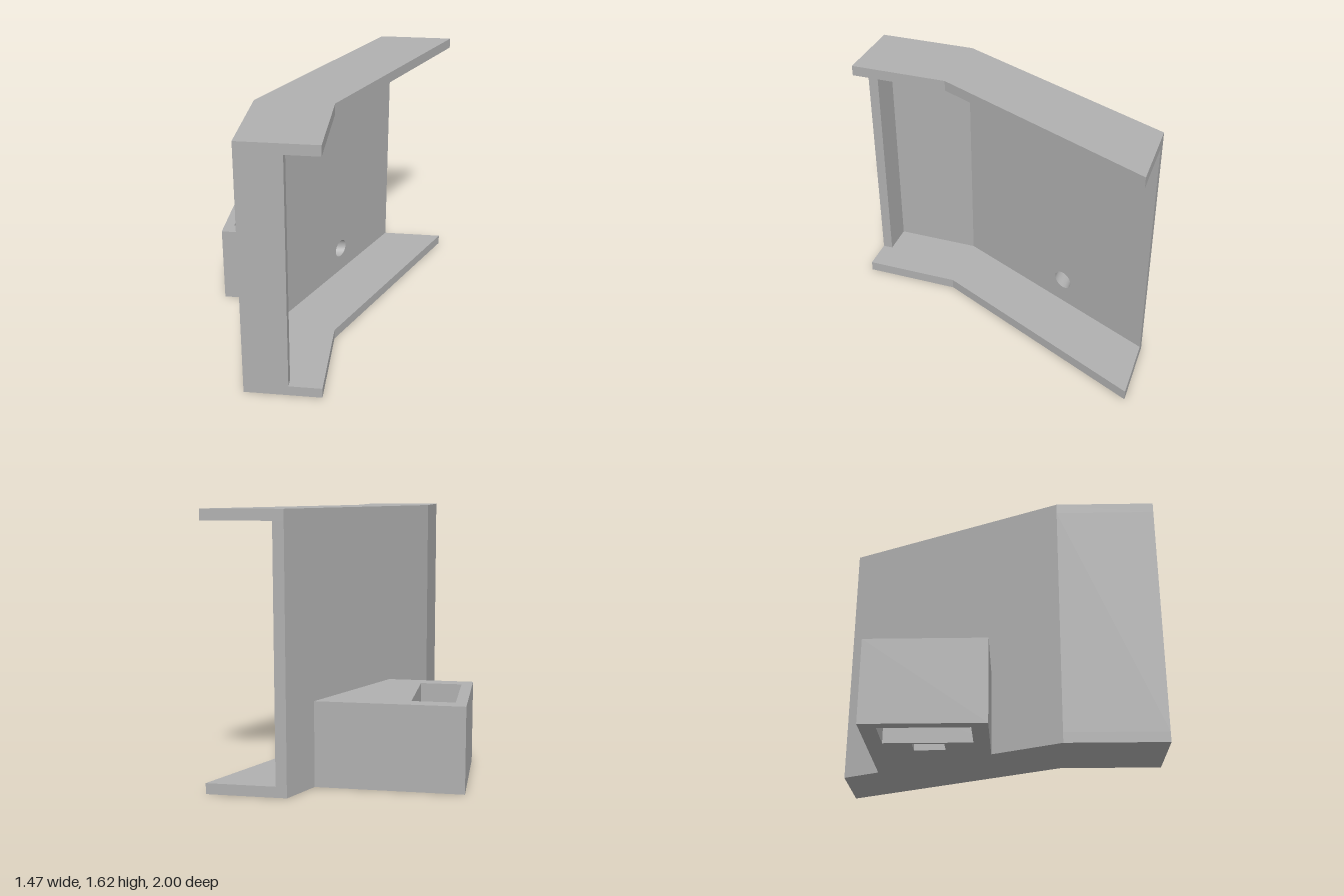
import * as THREE from 'three';
import { toCreasedNormals } from 'three/addons/utils/BufferGeometryUtils.js';

const H = 1.625, T = 0.065;          // overall height, wall thickness
const BEND = 0.378;                  // z where the channel turns
const BOLT = { z: -0.4, y: 0.24, r: 0.06 };

// x of the channel's outer face at a given z
const outer = (z) => -0.394 + Math.max(0, BEND - z) * (0.649 / (1 + BEND));
const inner = (z) => outer(z) + T;
const at = (x) => () => x;

const polygon = (pts) => new THREE.Shape(pts.map(([a, b]) => new THREE.Vector2(a, b)));

// Side-on outline given as (z, y) points, optionally pierced by the bolt hole
function sideShape(pts, hole) {
  const shape = polygon(pts.map(([z, y]) => [-z, y]));
  if (hole) shape.holes.push(new THREE.Path().absarc(-BOLT.z, BOLT.y, BOLT.r, 0, Math.PI * 2, true));
  return shape;
}
const rect = (z0, z1, y0, y1) => [[z1, y0], [z0, y0], [z0, y1], [z1, y1]];

// Extrude a side outline along x, between two faces that may slope with z
function slab(shape, xa, xb) {
  const geo = new THREE.ExtrudeGeometry(shape, { depth: 1, bevelEnabled: false, curveSegments: 24 });
  geo.rotateY(Math.PI / 2);
  const p = geo.attributes.position;
  for (let i = 0; i < p.count; i++) {
    const z = p.getZ(i);
    p.setX(i, THREE.MathUtils.lerp(xa(z), xb(z), p.getX(i)));
  }
  return toCreasedNormals(geo, 0.5);
}

export function createModel() {
  const group = new THREE.Group();
  const grey = new THREE.MeshStandardMaterial({ color: 0xb0b0b0 });
  grey.name = 'grey';

  const add = (name, geo, parent = group) => {
    const mesh = new THREE.Mesh(geo, grey);
    mesh.name = name;
    parent.add(mesh);
    return mesh;
  };

  // Bent top and bottom flanges
  const plan = polygon([
    [-0.394, -1], [0.083, -1], [0.083, -BEND], [0.732, 1], [0.255, 1], [-0.394, -BEND],
  ]);
  for (const [name, y] of [['bottomFlange', 0], ['topFlange', H - T]]) {
    const geo = new THREE.ExtrudeGeometry(plan, { depth: T, bevelEnabled: false });
    geo.rotateX(-Math.PI / 2);
    add(name, geo).position.y = y;
  }

  // Web: straight part, angled part with the bolt hole, and front lip
  add('straightWeb', slab(sideShape(rect(BEND, 1, T, H - T)), outer, inner));
  add('angledWeb', slab(sideShape(rect(-1, BEND, T, H - T), true), outer, inner));
  add('frontLip', slab(sideShape(rect(1 - T, 1, T, H - T)), at(-0.394), at(-0.121)));

  // Side block, built in slices along x
  const block = new THREE.Group();
  block.name = 'sideBlock';
  group.add(block);
  const z0 = -0.767, z1 = -0.044, top = 0.515;
  const x = { end: -0.734, slot: -0.667, wall: -0.411, pocket: -0.391, root: -0.28 };
  const full = rect(z0, z1, 0, top);
  add('endWall', slab(sideShape(full), at(x.end), at(x.slot)), block);
  add('slotBackWall', slab(sideShape(rect(z0, -0.668, 0, top)), at(x.slot), at(x.wall)), block);
  add('slotFrontWall', slab(sideShape(rect(-0.14, z1, 0, top)), at(x.slot), at(x.wall)), block);
  add('thinWall', slab(sideShape(full, true), at(x.wall), at(x.pocket)), block);

  // Slice with the nut pocket open at the bottom
  const n0 = -0.498, n1 = -0.31, nTop = 0.34;
  add('nutPocket', slab(sideShape([
    [z1, 0], [n1, 0], [n1, nTop], [n0, nTop], [n0, 0], [z0, 0], [z0, top], [z1, top],
  ]), at(x.pocket), at(x.root)), block);

  // Root slice meeting the angled web
  add('blockRoot', slab(sideShape(full, true), at(x.root), outer), block);

  return group;
}
